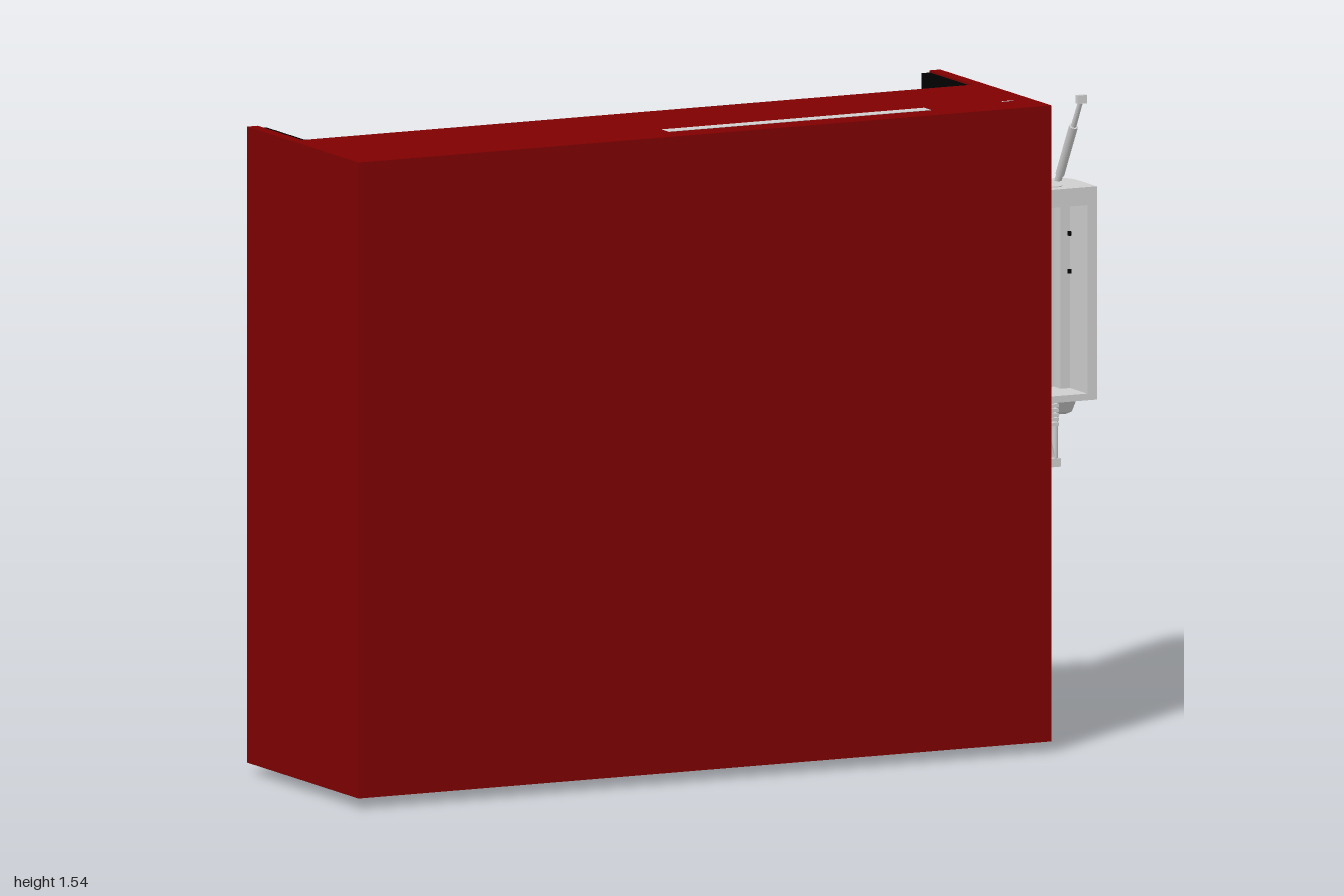
import * as THREE from 'three';

export function createModel() {
  const root = new THREE.Group();
  const mat = (name, color, side = THREE.FrontSide) => {
    const m = new THREE.MeshStandardMaterial({ color, side });
    m.name = name;
    return m;
  };
  const red = mat('caseRed', 0x7f0000);
  const darkRed = mat('machineRed', 0x4a0202);
  const black = mat('trayBlack', 0x010101, THREE.DoubleSide);
  const grey = mat('lightGrey', 0xcfcfcf, THREE.DoubleSide);

  const add = (name, geo, material, parent = root) => {
    const mesh = new THREE.Mesh(geo, material);
    mesh.name = name;
    parent.add(mesh);
    return mesh;
  };
  // box from its limits on each axis
  const box = (name, m, x0, x1, y0, y1, z0, z1) => {
    const g = new THREE.BoxGeometry(x1 - x0, y1 - y0, z1 - z0);
    return add(name, g.translate((x0 + x1) / 2, (y0 + y1) / 2, (z0 + z1) / 2), m);
  };
  // upright cylinder from y0 to y1
  const post = (name, m, x, z, r, y0, y1, rTop = r) =>
    add(name, new THREE.CylinderGeometry(rTop, r, y1 - y0, 28).translate(x, (y0 + y1) / 2, z), m);
  // rod between two points
  const rod = (name, m, a, b, r0, r1 = r0) => {
    const p = new THREE.Vector3(...a), q = new THREE.Vector3(...b), d = q.clone().sub(p);
    const mesh = add(name, new THREE.CylinderGeometry(r1, r0, d.length(), 10), m);
    mesh.position.copy(p).add(q).multiplyScalar(0.5);
    mesh.quaternion.setFromUnitVectors(new THREE.Vector3(0, 1, 0), d.normalize());
    return mesh;
  };
  const extrude = (shape, depth) =>
    new THREE.ExtrudeGeometry(shape, { depth, bevelEnabled: false, curveSegments: 12 });

  // outer case, open at the bottom and at the upper back
  box('frontPanel', red, -1, 0.825, 0.025, 1.54, 0.292, 0.3);
  box('rightPanel', red, -1, -0.972, 0.025, 1.54, -0.28, 0.292);
  box('leftPanel', red, 0.797, 0.825, 0.025, 1.54, -0.28, 0.292);
  box('topPanel', red, -0.972, 0.797, 1.534, 1.54, -0.05, 0.292);
  box('lowerBackPanel', red, -0.972, 0.797, 0.025, 0.61, -0.28, -0.274);
  box('topStrip', grey, -0.15, 0.54, 1.539, 1.541, 0.2, 0.235);
  box('topMark', grey, 0.745, 0.775, 1.539, 1.541, 0.199, 0.202);

  // tray: a U with rounded lower corners, plus back wall and ceiling
  const L = -0.973, R = 0.798, B = 0.6, T = 1.535, r = 0.16, t = 0.022;
  const u = new THREE.Shape();
  u.moveTo(L, T);
  u.lineTo(L, B + r);
  u.absarc(L + r, B + r, r, Math.PI, 1.5 * Math.PI);
  u.absarc(R - r, B + r, r, 1.5 * Math.PI, 2 * Math.PI);
  u.lineTo(R, T);
  u.lineTo(R - t, T);
  u.absarc(R - r, B + r, r - t, 2 * Math.PI, 1.5 * Math.PI, true);
  u.absarc(L + r, B + r, r - t, 1.5 * Math.PI, Math.PI, true);
  u.lineTo(L + t, T);
  add('trayRim', extrude(u, 0.38).translate(0, 0, -0.279), black);
  box('trayBackRight', black, L + 0.01, -0.31, B + 0.02, 1.5, 0.085, 0.1);
  box('trayBackLeft', black, 0.21, R - 0.01, B + 0.02, 1.5, 0.085, 0.1);
  box('trayBackTop', black, -0.31, 0.21, 1.41, 1.5, 0.085, 0.1);
  box('trayCeiling', black, L + 0.01, R - 0.01, 1.49, 1.533, -0.05, 0.1);
  for (let i = 0; i < 6; i++) {
    const z = -0.22 + i * 0.028;
    box('floorRib', black, -0.4, 0.22, 0.62, 0.64, z, z + 0.014);
  }

  // deeper niche behind the tanks
  box('nicheBack', black, -0.32, 0.22, 0.6, 1.42, 0.24, 0.25);
  for (const x of [-0.32, 0.21]) box('nicheSide', black, x, x + 0.01, 0.6, 1.42, 0.09, 0.245);
  for (const y of [0.6, 1.41]) box('nicheEnd', black, -0.32, 0.22, y, y + 0.02, 0.09, 0.245);

  // lower housing and tilted nozzle under the case
  box('lowerHousing', black, -0.965, 0.79, 0.03, 0.59, 0.035, 0.291);
  const nozzle = new THREE.Group();
  nozzle.name = 'nozzle';
  nozzle.position.set(-0.012, 0.025, 0.05);
  nozzle.rotation.z = -0.235;
  root.add(nozzle);
  add('nozzleCone', new THREE.CylinderGeometry(0.072, 0.102, 0.2, 28, 1, true).translate(0, 0.112, 0), darkRed, nozzle);
  add('nozzleRim', new THREE.CylinderGeometry(0.106, 0.106, 0.012, 28).translate(0, 0.006, 0), black, nozzle);
  rod('nozzlePipe', darkRed, [0.03, 0.2, 0.05], [0.08, 0.62, 0.02], 0.07, 0.085);

  // two round drums, one above the other
  for (const y of [1.255, 0.885]) {
    const drum = new THREE.Group();
    drum.name = 'drum';
    drum.position.set(0.53, y, 0);
    root.add(drum);
    const disc = (name, m, rad, z0, z1) =>
      add(name, new THREE.CylinderGeometry(rad, rad, z1 - z0, 32).rotateX(Math.PI / 2).translate(0, 0, (z0 + z1) / 2), m, drum);
    disc('drumBody', darkRed, 0.17, -0.02, 0.085);
    disc('drumPlate', black, 0.15, -0.03, -0.02);
    disc('drumRing', darkRed, 0.115, -0.037, -0.03);
    disc('drumHub', black, 0.085, -0.042, -0.037);
    disc('drumCentre', darkRed, 0.055, -0.047, -0.042);
    disc('drumBolt', black, 0.015, -0.049, -0.047);
    add('drumTread', new THREE.TorusGeometry(0.155, 0.024, 8, 32).translate(0, 0, -0.022), black, drum);
    for (let i = 0; i < 20; i++) {
      const lug = add('drumLug', new THREE.BoxGeometry(0.03, 0.025, 0.04), black, drum);
      const a = i * Math.PI / 10;
      lug.position.set(0.165 * Math.cos(a), 0.165 * Math.sin(a), -0.015);
      lug.rotation.z = a;
    }
    box('drumStop', black, 0.28, 0.33, y - 0.12, y - 0.02, -0.02, 0.085);
  }
  box('upperBracket', grey, 0.735, 0.777, 1.23, 1.32, 0.05, 0.07);
  box('lowerBracket', grey, 0.735, 0.777, 0.835, 0.885, 0.05, 0.07);

  // tall tanks with dark bands, the small one set back in the niche
  post('largeTank', darkRed, 0.1, 0.045, 0.1, 0.615, 1.47);
  for (const y of [0.84, 1.15]) post('tankBand', black, 0.1, 0.045, 0.101, y, y + 0.008);
  post('smallTank', darkRed, -0.062, 0.155, 0.064, 0.64, 1.28);
  post('smallTankBand', black, -0.062, 0.155, 0.065, 0.82, 0.828);
  box('tankCap', black, -0.27, -0.09, 1.3, 1.42, -0.048, 0.085);

  // pale chute behind the small tank, curving forward at its foot
  const j = new THREE.Shape();
  j.moveTo(0.235, 1.38);
  j.lineTo(0.235, 0.8);
  j.quadraticCurveTo(0.23, 0.635, 0, 0.63);
  j.lineTo(0, 0.642);
  j.quadraticCurveTo(0.215, 0.645, 0.223, 0.8);
  j.lineTo(0.223, 1.38);
  add('chute', extrude(j, 0.2).rotateY(-Math.PI / 2).translate(0.06, 0, 0), grey);

  // black bottle, valve and pipes on the right of the tray
  post('bottle', black, -0.65, -0.175, 0.115, 0.64, 1.055);
  post('bottleFoot', black, -0.65, -0.175, 0.124, 0.632, 0.645);
  box('bottleCap', black, -0.7, -0.58, 1.05, 1.1, -0.22, -0.07);
  box('valve', black, -0.68, -0.52, 1.2, 1.34, -0.06, 0.085);
  rod('valveArm', black, [-0.6, 1.3, -0.02], [-0.56, 1.44, 0.05], 0.045);
  rod('valveStem', black, [-0.62, 1.08, -0.05], [-0.6, 1.22, 0], 0.04);
  rod('redLever', darkRed, [-0.76, 1.02, 0.02], [-0.74, 1.18, 0.02], 0.014);
  const pipe = new THREE.CatmullRomCurve3([[-0.64, 1.06, -0.1], [-0.78, 1.15, 0], [-0.8, 1.32, 0.04], [-0.68, 1.4, 0.06]]
    .map(p => new THREE.Vector3(...p)));
  add('pipe', new THREE.TubeGeometry(pipe, 24, 0.025, 10), black);

  // side holder: rounded L wall open to the front, with top and bottom blocks
  const outline = (s) => {
    s.moveTo(0.825, -0.04);
    s.lineTo(0.95, -0.04);
    s.quadraticCurveTo(1, -0.04, 1, -0.09);
    s.lineTo(1, -0.19);
    return s;
  };
  const wall = outline(new THREE.Shape());
  wall.lineTo(0.975, -0.19);
  wall.lineTo(0.975, -0.1);
  wall.quadraticCurveTo(0.975, -0.065, 0.94, -0.065);
  wall.lineTo(0.825, -0.065);
  const slab = outline(new THREE.Shape());
  slab.lineTo(0.825, -0.19);
  const upright = (shape, y0, y1) => extrude(shape, y1 - y0).rotateX(-Math.PI / 2).translate(0, y0, 0);
  add('holderWall', upright(wall, 0.826, 1.275), grey);
  add('holderTop', upright(slab, 1.275, 1.318), grey);
  add('holderBottom', upright(slab, 0.81, 0.826), grey);
  box('holderLip', grey, 0.95, 0.976, 0.826, 1.275, 0.07, 0.1);
  for (const y of [1.1, 1.19]) box('holderButton', black, 0.968, 0.976, y, y + 0.01, 0.1, 0.108);

  // clip behind the holder
  box('clipPlate', grey, 0.826, 0.96, 1.1, 1.19, 0.018, 0.041);
  for (const y of [1.1, 1.175]) box('clipJaw', grey, 0.835, 0.95, y, y + 0.015, -0.01, 0.02);
  box('clipFace', grey, 0.85, 0.94, 1.115, 1.175, -0.005, 0.02);

  // aerial on top
  rod('aerial', grey, [0.955, 1.315, 0.075], [0.955, 1.525, 0.195], 0.009, 0.006);
  rod('aerialSleeve', grey, [0.955, 1.335, 0.087], [0.955, 1.46, 0.158], 0.011);
  box('aerialTip', grey, 0.943, 0.967, 1.52, 1.54, 0.192, 0.204);
  post('topKnob', grey, 0.91, 0.14, 0.022, 1.316, 1.32);

  // ribbed foot, wedge and strut below
  for (let i = 0; i < 5; i++) box('footRib', grey, 0.83, 0.9, 0.755 + i * 0.011, 0.763 + i * 0.011, 0.14, 0.19);
  box('footCore', grey, 0.84, 0.89, 0.765, 0.811, 0.145, 0.185);
  const wedge = new THREE.Shape([[0.04, 0.811], [0.13, 0.811], [0.1, 0.77], [0.07, 0.76]].map(p => new THREE.Vector2(...p)));
  add('footWedge', extrude(wedge, 0.05).rotateY(-Math.PI / 2).translate(0.98, 0, 0), grey);
  rod('strut', grey, [0.955, 0.811, 0.06], [0.955, 0.645, 0.06], 0.009, 0.007);
  rod('strutBrace', grey, [0.9, 0.811, 0.06], [0.95, 0.66, 0.06], 0.007);
  box('strutTip', grey, 0.943, 0.967, 0.635, 0.655, 0.05, 0.07);

  return root;
}
